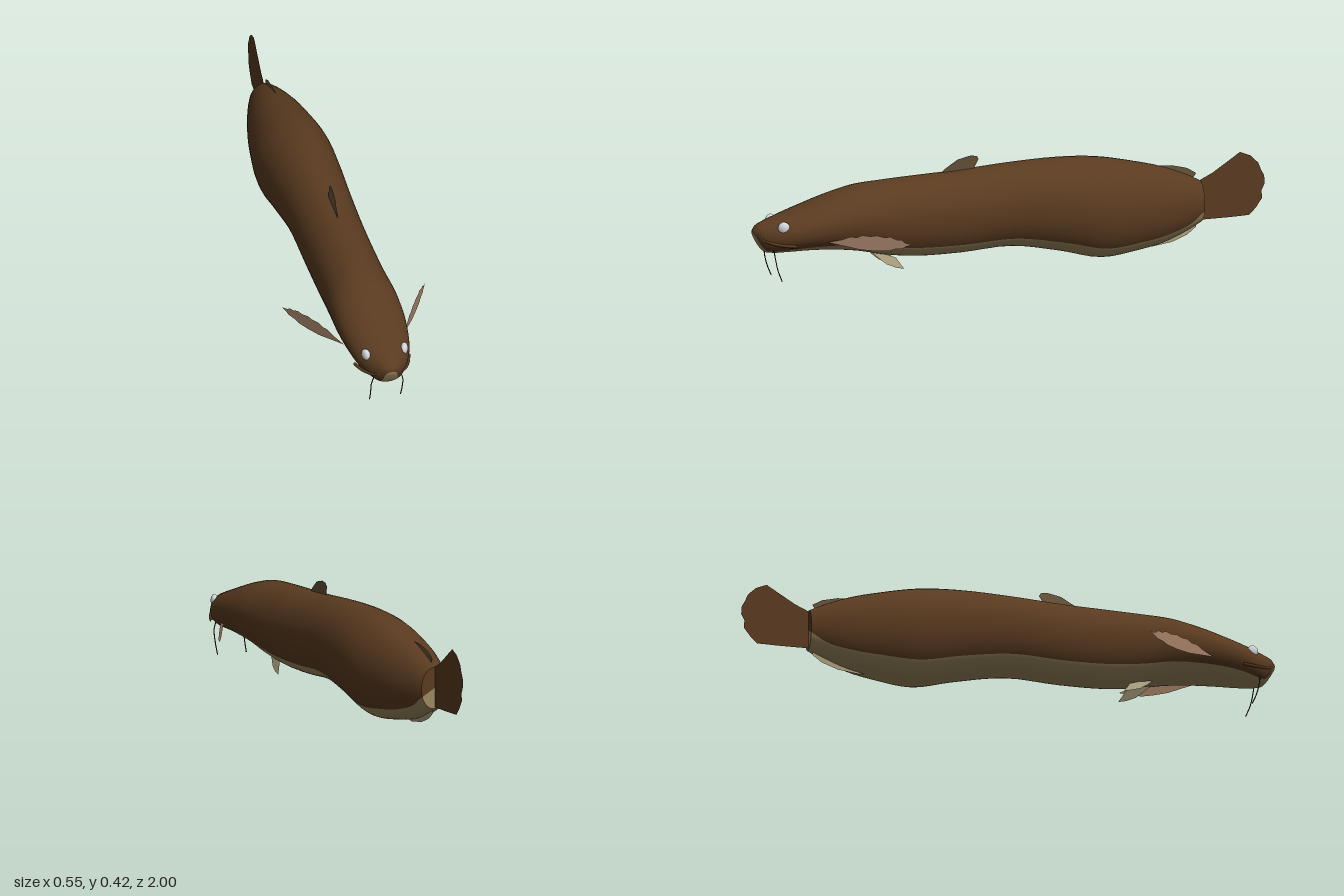
import * as THREE from 'three';

const mat = (name, color, side = THREE.FrontSide) => {
  const m = new THREE.MeshStandardMaterial({ color, side });
  m.name = name;
  return m;
};

// Body stations: distance behind the nose, top y, bottom y, half width, belly edge angle below the sides
const STATIONS = [
  [0, 0.207, 0.188, 0.012, 0.2],
  [0.015, 0.224, 0.16, 0.036, 0.85],
  [0.04, 0.236, 0.126, 0.058, 1.0],
  [0.07, 0.246, 0.119, 0.077, 0.95],
  [0.12, 0.262, 0.119, 0.1, 0.85],
  [0.2, 0.288, 0.12, 0.118, 0.8],
  [0.3, 0.32, 0.115, 0.128, 0.78],
  [0.4, 0.345, 0.102, 0.128, 0.75],
  [0.5, 0.354, 0.08, 0.123, 0.75],
  [0.62, 0.36, 0.064, 0.121, 0.76],
  [0.8, 0.367, 0.062, 0.121, 0.78],
  [1.0, 0.38, 0.071, 0.125, 0.8],
  [1.2, 0.385, 0.036, 0.139, 0.82],
  [1.35, 0.375, 0.001, 0.145, 0.82],
  [1.5, 0.345, 0.016, 0.126, 0.8],
  [1.6, 0.319, 0.036, 0.105, 0.78],
  [1.7, 0.28, 0.075, 0.075, 0.7],
  [1.75, 0.255, 0.1, 0.055, 0.4],
];

// Lofted body with an egg section; group 0 is the back, group 1 the belly
function bodyGeometry() {
  const BACK = 30, BELLY = 14, N = BACK + BELLY, STEPS = 4;
  const spline = new THREE.CubicInterpolant(
    STATIONS.map((s) => s[0]), STATIONS.flatMap((s) => s.slice(1)), 4, new Float32Array(4));
  const dist = [];
  STATIONS.forEach(([d], i) => {
    if (i === STATIONS.length - 1) { dist.push(d, d); return; }  // doubled last ring keeps the rear edge sharp
    for (let k = 0; k < STEPS; k++) dist.push(THREE.MathUtils.lerp(d, STATIONS[i + 1][0], k / STEPS));
  });

  const pos = [], back = [], belly = [];
  for (const d of dist) {
    const [top, bottom, w, edge] = spline.evaluate(d);
    const mid = (top + bottom) / 2, h = (top - bottom) / 2;
    for (let j = 0; j < N; j++) {
      const a = j < BACK
        ? -edge + (Math.PI + 2 * edge) * j / BACK
        : Math.PI + edge + (Math.PI - 2 * edge) * (j - BACK) / BELLY;
      const c = Math.cos(a), s = Math.sin(a);
      const x = Math.sign(c) * Math.pow(Math.abs(c), s < 0 ? 0.85 : 1) * w;
      pos.push(x, mid + h * s, 1 - d);
    }
  }
  const rings = dist.length, nose = rings * N, rear = nose + 1;
  pos.push(0, 0.197, 1, 0, 0.178, -0.75);
  for (let j = 0; j < N; j++) {
    const out = j < BACK ? back : belly, k = (j + 1) % N, last = (rings - 1) * N;
    for (let i = 0; i < rings - 2; i++) {
      const A = i * N + j, B = i * N + k, C = A + N, D = B + N;
      out.push(A, C, B, B, C, D);
    }
    out.push(nose, j, k, rear, last + k, last + j);
  }
  const g = new THREE.BufferGeometry();
  g.setAttribute('position', new THREE.Float32BufferAttribute(pos, 3));
  g.setIndex([...back, ...belly]);
  g.addGroup(0, back.length, 0);
  g.addGroup(back.length, belly.length, 1);
  g.computeVertexNormals();
  return g;
}

// Thin fin drawn as a (z, y) outline, pushed sideways by a rule
function finGeometry(outline, sideways) {
  const g = new THREE.ShapeGeometry(new THREE.Shape(outline.map(([z, y]) => new THREE.Vector2(z, y))));
  const p = g.attributes.position;
  for (let i = 0; i < p.count; i++) {
    const z = p.getX(i), y = p.getY(i);
    p.setXYZ(i, sideways(z, y), y, z);
  }
  g.computeVertexNormals();
  return g;
}

const tube = (points, r) => new THREE.TubeGeometry(
  new THREE.CatmullRomCurve3(points.map((p) => new THREE.Vector3(...p))), 24, r, 6);

export function createModel() {
  const model = new THREE.Group();
  model.name = 'catfish';
  const skin = mat('brown skin', 0x5a3b20);
  const tailSkin = mat('brown tail', 0x5a3b20, THREE.DoubleSide);
  const bellySkin = mat('tan belly', 0x9c885e);
  const backFin = mat('olive fin', 0x66543a, THREE.DoubleSide);
  const sideFin = mat('rosy fin', 0xa38067, THREE.DoubleSide);
  const paleFin = mat('pale fin', 0xa89c7c, THREE.DoubleSide);
  const whisker = mat('dark whisker', 0x3a2a1c);
  const eyeWhite = mat('pale eye', 0xd2d6da);
  const add = (name, geometry, material) => {
    const m = new THREE.Mesh(geometry, material);
    m.name = name;
    model.add(m);
    return m;
  };

  add('body', bodyGeometry(), [skin, bellySkin]);

  // Upper lip around the mouth
  add('upperLip', tube([[-0.104, 0.155, 0.86], [-0.086, 0.158, 0.91], [-0.053, 0.17, 0.962], [0, 0.194, 0.993],
    [0.053, 0.17, 0.962], [0.086, 0.158, 0.91], [0.104, 0.155, 0.86]], 0.006), skin);

  // Fins along the centre line
  add('tailFin', finGeometry([[-0.74, 0.25], [-0.8, 0.28], [-0.905, 0.35], [-0.945, 0.334], [-0.975, 0.305],
    [-0.985, 0.28], [-0.998, 0.255], [-1, 0.225], [-0.988, 0.2], [-0.99, 0.17], [-0.965, 0.135],
    [-0.94, 0.11], [-0.86, 0.107], [-0.74, 0.105]], (z) => (-0.74 - z) * 0.04), tailSkin);
  add('dorsalFin', finGeometry([[0.26, 0.36], [0.25, 0.376], [0.2, 0.41], [0.15, 0.422], [0.125, 0.418],
    [0.118, 0.405], [0.13, 0.38], [0.14, 0.36]], (z, y) => Math.max(0, y - 0.37) * 0.18), backFin);
  add('rearDorsalFin', finGeometry([[-0.5, 0.335], [-0.53, 0.325], [-0.64, 0.32], [-0.7, 0.305], [-0.735, 0.283],
    [-0.72, 0.262], [-0.6, 0.3]], () => 0.002), backFin);
  add('analFin', finGeometry([[-0.5, 0.03], [-0.56, 0.019], [-0.64, 0.03], [-0.7, 0.053], [-0.735, 0.08],
    [-0.732, 0.11], [-0.6, 0.06]], () => 0), paleFin);

  for (const [side, s] of [['left', 1], ['right', -1]]) {
    // Ragged pectoral fin, swept back
    add(side + 'PectoralFin', finGeometry([[0.75, 0.165], [0.7, 0.178], [0.675, 0.19], [0.655, 0.188], [0.635, 0.197],
      [0.61, 0.194], [0.59, 0.198], [0.565, 0.192], [0.545, 0.195], [0.525, 0.185], [0.51, 0.186], [0.5, 0.176],
      [0.475, 0.169], [0.495, 0.161], [0.505, 0.153], [0.53, 0.15], [0.55, 0.142], [0.59, 0.14], [0.64, 0.142],
      [0.7, 0.155]], (z) => s * (0.125 + (0.73 - z) * 0.58)), sideFin);
    add(side + 'PelvicFin', finGeometry([[0.55, 0.1], [0.5, 0.085], [0.45, 0.066], [0.438, 0.045], [0.425, 0.026],
      [0.455, 0.032], [0.49, 0.046], [0.52, 0.07]], (z, y) => s * (0.02 + (0.095 - y) * 0.45)), paleFin);
    add(side + 'Barbel', tube([[s * 0.052, 0.135, 0.935], [s * 0.06, 0.105, 0.932], [s * 0.06, 0.06, 0.922],
      [s * 0.059, 0.017, 0.905]], 0.002), whisker);
    const eye = add(side + 'Eye', new THREE.SphereGeometry(1, 20, 14), eyeWhite);
    eye.scale.set(0.014, 0.023, 0.022);
    eye.position.set(s * 0.073, 0.222, 0.904);
    eye.rotation.y = -s * 0.35;
  }
  return model;
}
